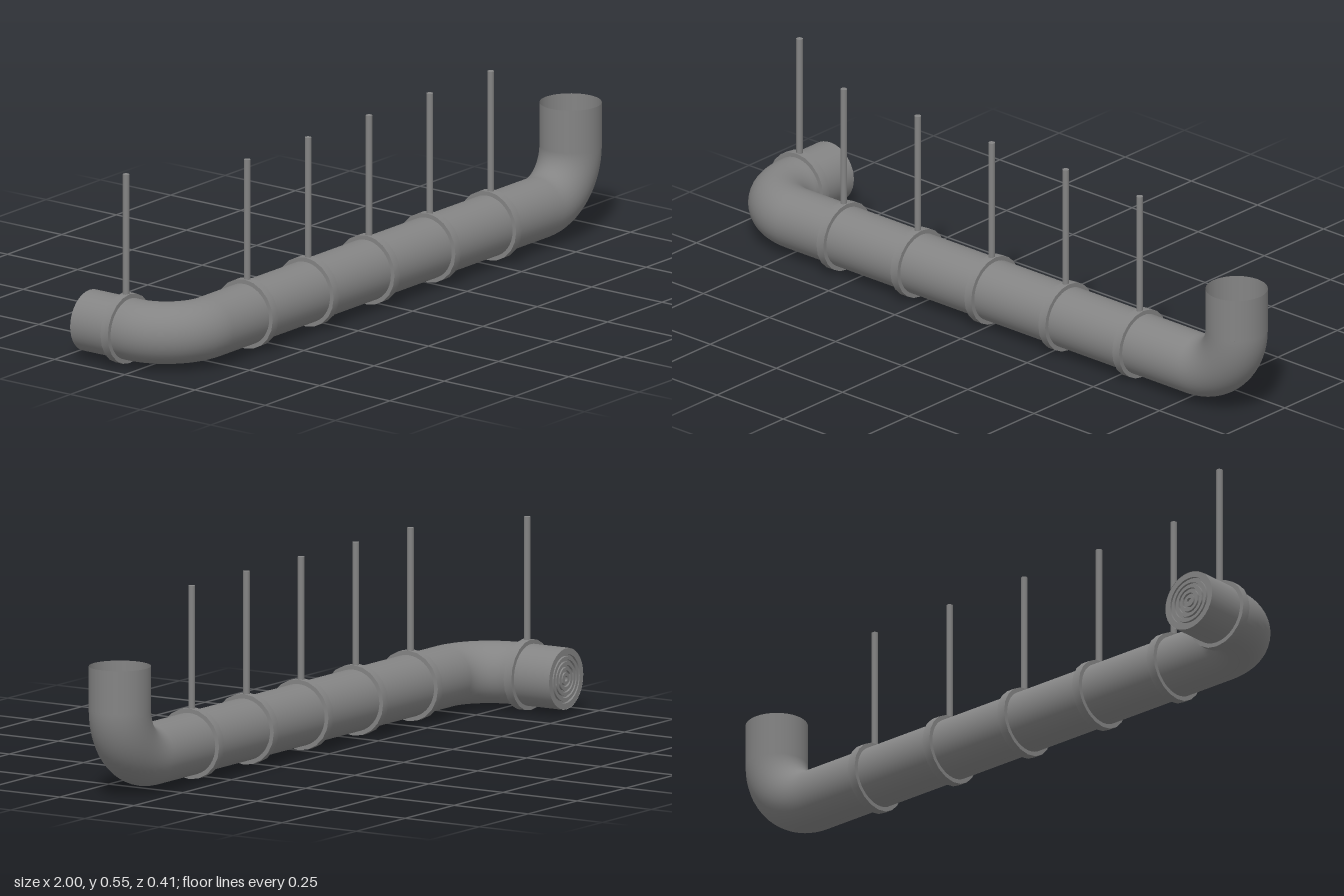
import * as THREE from 'three';
import { toCreasedNormals } from 'three/addons/utils/BufferGeometryUtils.js';

const AXIS_Y = 0.101, AXIS_Z = 0.105;
const PIPE_R = 0.088, CLAMP_R = 0.101, CLAMP_W = 0.026;
const LEFT_X = 0.912, RIGHT_X = -0.9, BEND = 0.15;
const TOP_Y = 0.376, BACK_Z = -0.204, ROD_TOP = 0.552;

const material = new THREE.MeshStandardMaterial({ color: 0x848484, side: THREE.DoubleSide });

function addMesh(parent, name, geometry) {
  const mesh = new THREE.Mesh(geometry, material);
  mesh.name = name;
  parent.add(mesh);
  return mesh;
}

// Quarter-circle elbow around a bend centre, turning between two directions
class ElbowCurve extends THREE.Curve {
  constructor(center, from, to) {
    super();
    Object.assign(this, { center, from, to });
  }
  getPoint(t, target = new THREE.Vector3()) {
    const a = t * Math.PI / 2;
    return target.copy(this.center)
      .addScaledVector(this.from, BEND * Math.cos(a))
      .addScaledVector(this.to, BEND * Math.sin(a));
  }
}

// Closed rectangular band of revolution around y, smooth around, sharp at its rims
function bandGeometry(inner, outer, width, sides) {
  const h = width / 2;
  const profile = [[inner, -h], [outer, -h], [outer, h], [inner, h], [inner, -h]];
  const points = profile.map(([r, y]) => new THREE.Vector2(r, y));
  return toCreasedNormals(new THREE.LatheGeometry(points, sides), 0.6);
}

// Clamp around the pipe with its hanging rod
function makeHanger(x, z, alongX) {
  const hanger = new THREE.Group();
  hanger.name = 'hanger';
  const clamp = addMesh(hanger, 'clamp', bandGeometry(PIPE_R - 0.002, CLAMP_R, CLAMP_W, 20));
  if (alongX) clamp.rotation.z = Math.PI / 2;
  else clamp.rotation.x = Math.PI / 2;
  const bottom = CLAMP_R - 0.006, top = ROD_TOP - AXIS_Y;
  const rod = addMesh(hanger, 'rod', new THREE.CylinderGeometry(0.0095, 0.0095, top - bottom, 12));
  rod.position.y = (top + bottom) / 2;
  hanger.position.set(x, AXIS_Y, z);
  return hanger;
}

export function createModel() {
  const model = new THREE.Group();
  model.name = 'hangingDuct';
  const v = (x, y, z) => new THREE.Vector3(x, y, z);

  // Pipe path: back outlet, flat elbow, long run, upward elbow, open top
  const runStart = RIGHT_X + BEND, runEnd = LEFT_X - BEND;
  const sections = [
    ['backOutlet', new THREE.LineCurve3(v(RIGHT_X, AXIS_Y, BACK_Z), v(RIGHT_X, AXIS_Y, AXIS_Z - BEND)), 1],
    ['sideElbow', new ElbowCurve(v(runStart, AXIS_Y, AXIS_Z - BEND), v(-1, 0, 0), v(0, 0, 1)), 16],
    ['mainPipe', new THREE.LineCurve3(v(runStart, AXIS_Y, AXIS_Z), v(runEnd, AXIS_Y, AXIS_Z)), 1],
    ['upElbow', new ElbowCurve(v(runEnd, AXIS_Y + BEND, AXIS_Z), v(0, -1, 0), v(1, 0, 0)), 16],
    ['topOutlet', new THREE.LineCurve3(v(LEFT_X, AXIS_Y + BEND, AXIS_Z), v(LEFT_X, TOP_Y, AXIS_Z)), 1],
  ];
  for (const [name, curve, steps] of sections) {
    addMesh(model, name, new THREE.TubeGeometry(curve, steps, PIPE_R, 40, false));
  }

  // Hangers along the run and one on the back outlet
  for (let i = 0; i < 5; i++) model.add(makeHanger(-0.573 + i * 0.2795, AXIS_Z, true));
  model.add(makeHanger(RIGHT_X, -0.073, false));

  // Round grille closing the back outlet: a wide rim and concentric rings
  const grille = new THREE.Group();
  grille.name = 'grille';
  addMesh(grille, 'grilleRim', bandGeometry(0.07, PIPE_R - 0.001, 0.008, 32));
  for (let i = 0; i < 4; i++) {
    const outer = 0.064 - i * 0.0155;
    addMesh(grille, 'grilleRing', bandGeometry(outer - 0.0095, outer, 0.008, 32));
  }
  const plate = addMesh(grille, 'backPlate', new THREE.CylinderGeometry(PIPE_R - 0.001, PIPE_R - 0.001, 0.003, 32));
  plate.position.y = 0.005;
  grille.rotation.x = Math.PI / 2;
  grille.position.set(RIGHT_X, AXIS_Y, BACK_Z + 0.004);
  model.add(grille);

  return model;
}
